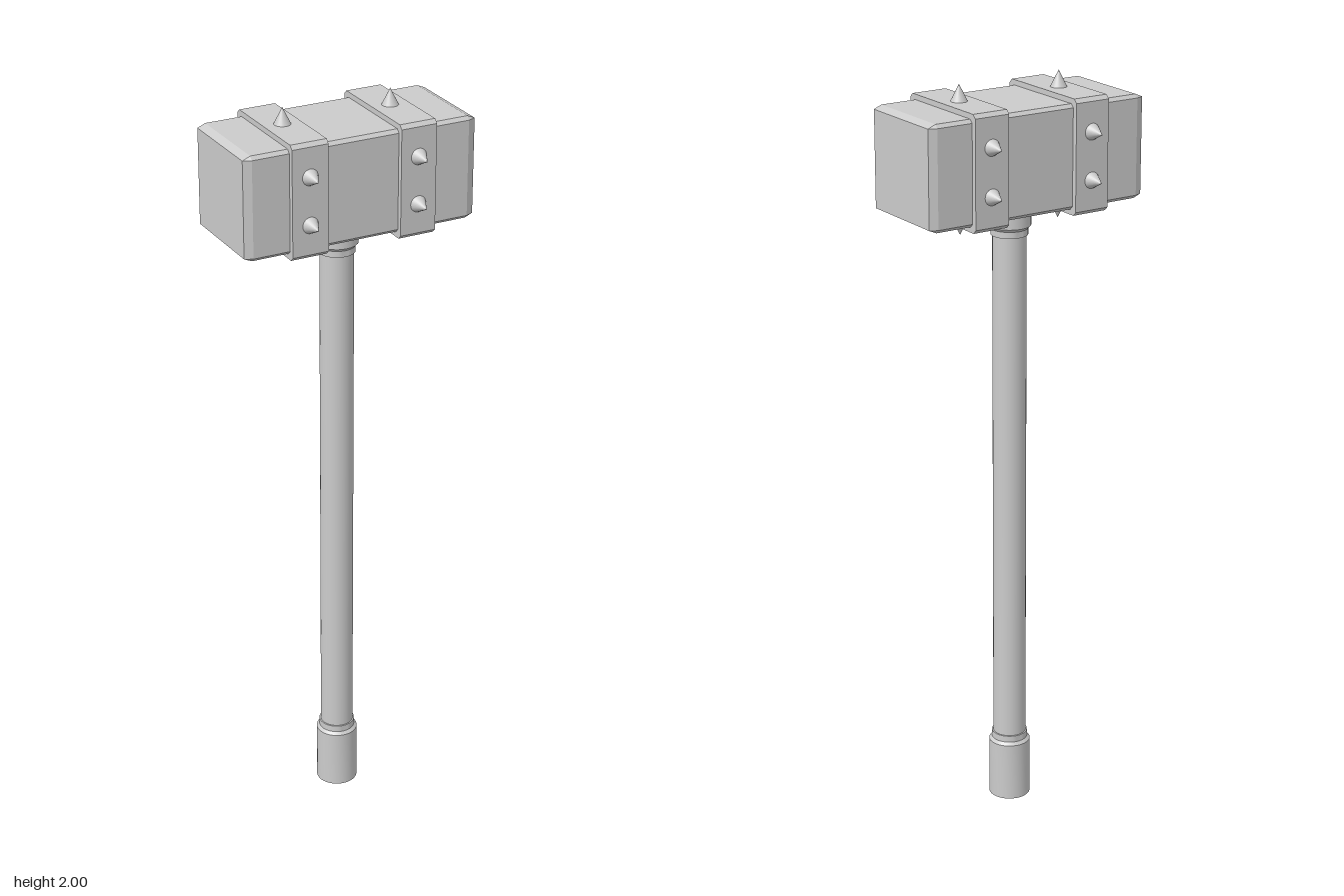
import * as THREE from 'three';
import { toCreasedNormals } from 'three/addons/utils/BufferGeometryUtils.js';
import { ConvexGeometry } from 'three/addons/geometries/ConvexGeometry.js';

const HEAD_Y = 1.808;
const material = new THREE.MeshStandardMaterial({ color: 0xcccccc });
const openMaterial = new THREE.MeshStandardMaterial({ color: 0xcccccc, side: THREE.DoubleSide });

function part(parent, name, geometry, mat = material) {
  const mesh = new THREE.Mesh(geometry, mat);
  mesh.name = name;
  parent.add(mesh);
  return mesh;
}

// Box with every edge cut; the cut is deeper along x than along y and z
function chamferedBox(hx, h, cutX, cut) {
  const points = [];
  for (const sx of [-1, 1]) for (const sy of [-1, 1]) for (const sz of [-1, 1]) {
    for (const [x, y, z] of [
      [hx, h - cut, h - cut],
      [hx - cutX, h, h - cut],
      [hx - cutX, h - cut, h],
    ]) points.push(new THREE.Vector3(sx * x, sy * y, sz * z));
  }
  return new ConvexGeometry(points);
}

// Square band with cut corners, running around the x axis
function bandGeometry(width, h, cut) {
  const k = h - cut;
  const outline = [[h, -k], [h, k], [k, h], [-k, h], [-h, k], [-h, -k], [-k, -h], [k, -h]];
  const shape = new THREE.Shape(outline.map(([x, y]) => new THREE.Vector2(x, y)));
  return new THREE.ExtrudeGeometry(shape, { depth: width, bevelEnabled: false })
    .translate(0, 0, -width / 2)
    .rotateY(Math.PI / 2);
}

function lathe(profile) {
  const points = profile.map(([r, y]) => new THREE.Vector2(r, y));
  return toCreasedNormals(new THREE.LatheGeometry(points, 32), 0.5);
}

export function createModel() {
  const model = new THREE.Group();
  model.name = 'warHammer';

  // Handle: open shaft, grip at the foot, collar under the head
  part(model, 'shaft', new THREE.CylinderGeometry(0.044, 0.044, 1.7, 32, 1, true).translate(0, 0.85, 0), openMaterial);
  part(model, 'grip', lathe([[0.044, 0], [0.0555, 0], [0.0555, 0.162], [0.048, 0.17], [0.048, 0.188], [0.044, 0.188]]));
  part(model, 'collar', lathe([[0.044, 1.595], [0.048, 1.595], [0.048, 1.612], [0.0555, 1.62], [0.0555, 1.69]]));

  // Head
  const head = new THREE.Group();
  head.name = 'head';
  head.position.y = HEAD_Y;
  model.add(head);
  part(head, 'headBlock', chamferedBox(0.318, 0.135, 0.021, 0.009));

  // Two bands, each with six spikes
  const band = bandGeometry(0.098, 0.149, 0.01);
  const spike = new THREE.ConeGeometry(0.023, 0.046, 24).translate(0, 0.169, 0);
  for (const side of [-1, 1]) {
    const group = new THREE.Group();
    group.name = side > 0 ? 'leftBand' : 'rightBand';
    group.position.x = side * 0.149;
    head.add(group);
    part(group, 'band', band);
    part(group, 'topSpike', spike);
    part(group, 'bottomSpike', spike).rotation.x = Math.PI;
    for (const y of [-0.062, 0.062]) {
      for (const face of [-1, 1]) {
        const mesh = part(group, face > 0 ? 'frontSpike' : 'backSpike', spike);
        mesh.rotation.x = face * Math.PI / 2;
        mesh.position.y = y;
      }
    }
  }
  return model;
}
